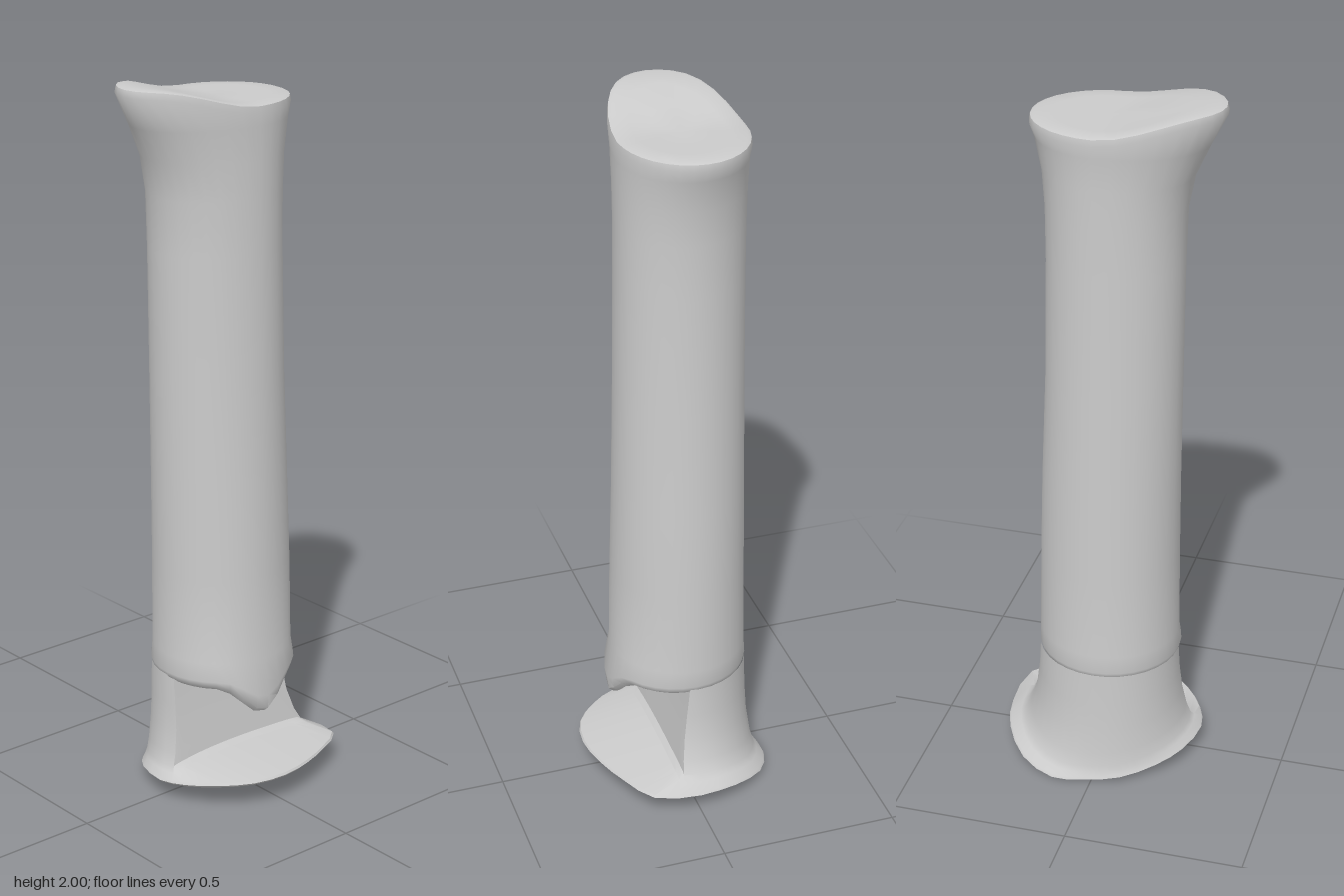
import * as THREE from 'three';
import { toCreasedNormals } from 'three/addons/utils/BufferGeometryUtils.js';

const N = 32;
const V = (x, y, z) => new THREE.Vector3(x, y, z);
const material = new THREE.MeshStandardMaterial({ color: 0xcccccc });

// Skin over closed rings, listed from bottom to top; zero-area faces are dropped
function loft(name, rings, crease) {
  const pos = [];
  const tri = (a, b, c) => {
    if (a.equals(b) || b.equals(c) || a.equals(c)) return;
    for (const p of [a, b, c]) pos.push(p.x, p.y, p.z);
  };
  for (let r = 0; r < rings.length - 1; r++) {
    for (let i = 0; i < N; i++) {
      const j = (i + 1) % N;
      const [a, b, c, d] = [rings[r][i], rings[r][j], rings[r + 1][j], rings[r + 1][i]];
      tri(a, d, c);
      tri(a, c, b);
    }
  }
  const geo = new THREE.BufferGeometry();
  geo.setAttribute('position', new THREE.Float32BufferAttribute(pos, 3));
  const mesh = new THREE.Mesh(toCreasedNormals(geo, crease), material);
  mesh.name = name;
  return mesh;
}

// Oval with a separate reach in each direction; height is a number or a rule
function oval(height, left, right, back, front, scale = 1) {
  const cz = (back + front) / 2;
  return Array.from({ length: N }, (_, i) => {
    const a = (i / N) * Math.PI * 2;
    const c = Math.cos(a), s = Math.sin(a);
    const x = c * (c > 0 ? right : -left) * scale;
    const z = cz + s * (front - back) / 2 * scale;
    return V(x, typeof height === 'number' ? height : height(x, z), z);
  });
}

const smooth = THREE.MathUtils.smoothstep;
const topHeight = (x) => 1.945 + 0.055 * smooth(-x, 0, 0.28);
const lipDrop = (x, z) => (z > 0 ? 0.085 * (1 - smooth(Math.abs(x + 0.01), 0, 0.12)) : 0);
const rimHeight = (z) => 0.065 + (z > 0 ? 0.1 * z : -0.8 * z * z);

// Shaft with a drooping lip over the opening and a spout drawn out at the top
function shaft() {
  const foot = [-0.198, 0.202, -0.219, 0.182];
  const head = [-0.309, 0.207, -0.213, 0.138];
  const rings = [
    oval(0.335, ...foot, 0),
    oval(0.335, ...foot, 0.78),
    oval((x, z) => 0.332 - lipDrop(x, z), ...foot, 0.9),
    oval((x, z) => 0.345 - lipDrop(x, z), ...foot, 0.98),
    oval((x, z) => 0.36 - 0.7 * lipDrop(x, z), ...foot),
  ];
  const sections = [
    [0.41, -0.193, 0.2, -0.215, 0.168],
    [0.65, -0.192, 0.196, -0.212, 0.163],
    [0.9, -0.193, 0.188, -0.21, 0.155],
    [1.2, -0.196, 0.175, -0.207, 0.148],
    [1.55, -0.2, 0.168, -0.205, 0.142],
    [1.7, -0.205, 0.169, -0.205, 0.14],
    [1.8, -0.225, 0.176, -0.206, 0.139],
    [1.89, -0.265, 0.195, -0.208, 0.138],
  ];
  for (const s of sections) rings.push(oval(...s));
  rings.push(oval((x) => topHeight(x) - 0.022, ...head));
  rings.push(oval((x) => topHeight(x) - 0.004, ...head, 0.985));
  for (const k of [0.93, 0.7, 0.4, 0]) rings.push(oval(topHeight, ...head, k));
  return loft('shaft', rings, 0.8);
}

// Half-round stem with a flat front wall, flaring into a thin sloping base plate
function base() {
  const outline = new THREE.CatmullRomCurve3([
    [0.306, 0], [0.292, 0.135], [0.2, 0.195], [0.1, 0.237],
    [0, 0.257], [-0.1, 0.238], [-0.18, 0.175], [-0.235, 0.1],
    [-0.258, 0.02], [-0.23, -0.09], [-0.17, -0.165], [-0.08, -0.225],
    [0.02, -0.25], [0.11, -0.258], [0.21, -0.21], [0.28, -0.11],
  ].map(([x, z]) => V(x, 0, z)), true);
  const rim = Array.from({ length: N }, (_, i) => outline.getPoint(i / N));
  const top = oval(0.35, -0.195, 0.201, -0.218, 0.17);

  // Underside and edge of the plate
  const plate = (k, lift) => rim.map((p) => V(p.x * k, rimHeight(p.z * k) + lift, p.z * k));
  const rings = [plate(0, -0.011), plate(0.5, -0.011), plate(0.97, -0.011), plate(1, -0.004), plate(0.985, 0.002)];

  // Stem: [height share, flare share, depth of the front wall]
  const stem = [[0.05, 0.65, 0.05], [0.1, 0.5, 0.035], [0.22, 0.32, 0.03], [0.45, 0.13, 0.02], [0.7, 0.04, 0.01], [1, 0, 0]];
  for (const [share, flare, wall] of stem) {
    rings.push(rim.map((p, i) => {
      const q = top[i].clone().lerp(p, flare);
      const y = THREE.MathUtils.lerp(rimHeight(p.z), 0.35, share);
      return V(q.x, y, Math.min(q.z, wall));
    }));
  }
  return loft('base', rings, 0.6);
}

export function createModel() {
  const group = new THREE.Group();
  group.name = 'spoutedPipe';
  group.add(shaft(), base());
  return group;
}
